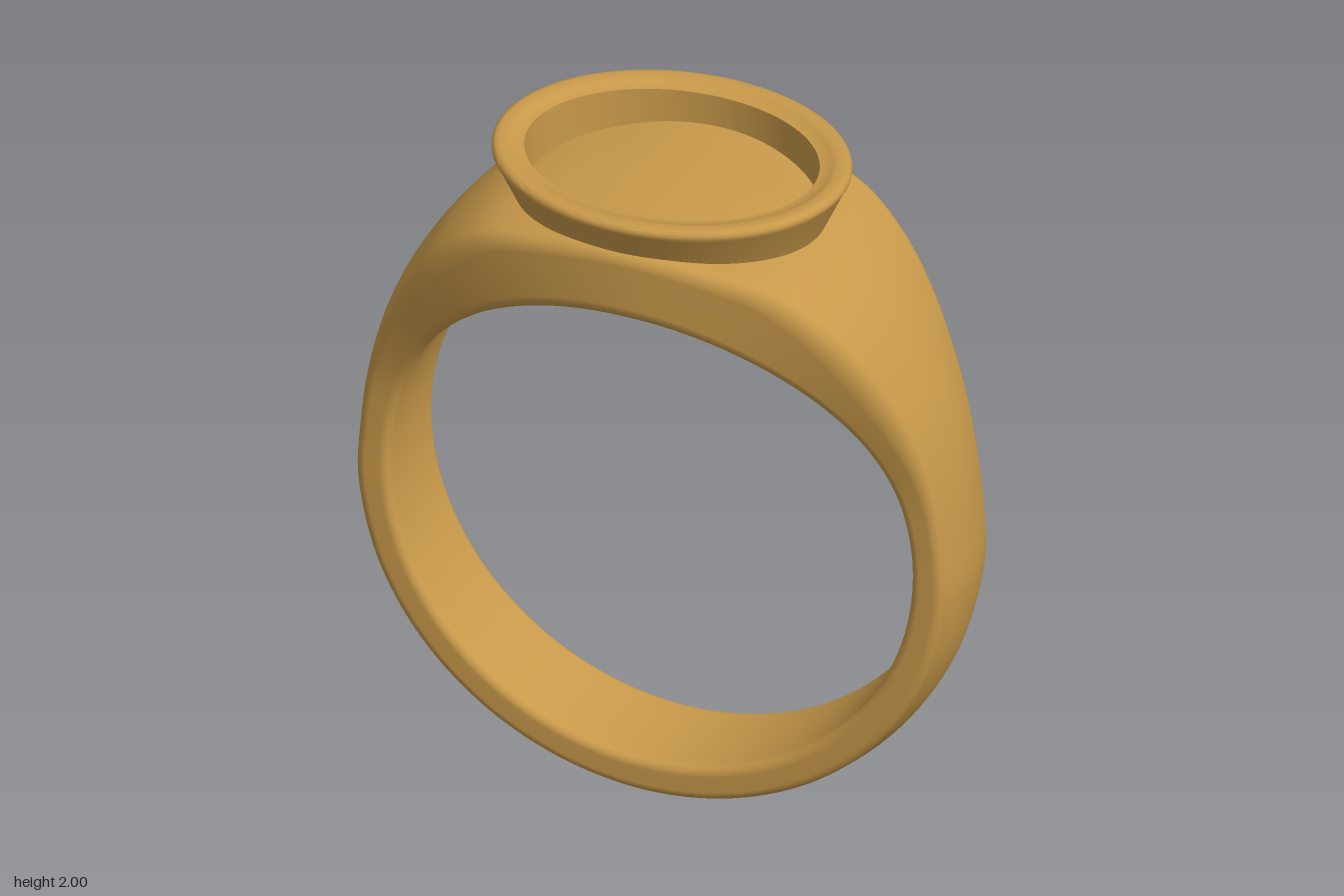
import * as THREE from 'three';
import { toCreasedNormals } from 'three/addons/utils/BufferGeometryUtils.js';

const CENTRE_Y = 0.9, INNER_R = 0.772;

// Half outline of the band from the top round to the bottom: x, y from the centre, half width
function outline() {
  const half = [
    [0, 0.992, 0.388], [0.22, 0.98, 0.376], [0.44, 0.938, 0.345], [0.588, 0.833, 0.308],
    [0.697, 0.697, 0.266], [0.797, 0.50, 0.211], [0.856, 0.30, 0.173], [0.884, 0.10, 0.163],
  ];
  for (let deg = 95; deg <= 180; deg += 17) {
    const a = THREE.MathUtils.degToRad(deg), r = 0.893 + 0.007 * (deg - 95) / 85;
    half.push([r * Math.sin(a), r * Math.cos(a), 0.163]);
  }
  const mirrored = half.slice(1, -1).reverse().map(([x, y, w]) => [-x, y, w]);
  return new THREE.CatmullRomCurve3(
    [...half, ...mirrored].map(p => new THREE.Vector3(...p)), true);
}

// Rounded cross-section as [z, radius] pairs: flat inside, crowned outside, softest on the shoulders
function section(outer, w) {
  const wide = THREE.MathUtils.clamp((w - 0.163) / 0.225, 0, 1);
  const shoulder = 4 * wide * (1 - wide);
  const drop = 0.03 - 0.026 * wide + 0.018 * shoulder;
  const inFillet = 0.028 + 0.02 * wide;
  const outZ = 0.028 + 0.006 * wide + 0.016 * shoulder;
  const outR = 0.03 + 0.008 * wide + 0.04 * shoulder;
  const crown = z => outer - drop * (z / w) ** 2;
  const edge = crown(w - outZ);
  const right = [];
  for (let i = 0; i <= 3; i++) right.push([(w - inFillet) * i / 3, INNER_R]);
  for (let i = 1; i <= 6; i++) {
    const a = i / 6 * Math.PI / 2;
    right.push([w - inFillet + inFillet * Math.sin(a), INNER_R + inFillet * (1 - Math.cos(a))]);
  }
  for (let i = 0; i <= 8; i++) {
    const a = i / 8 * Math.PI / 2;
    right.push([w - outZ + outZ * Math.cos(a), edge - outR + outR * Math.sin(a)]);
  }
  for (let i = 7; i >= 0; i--) {
    const z = (w - outZ) * i / 8;
    right.push([z, crown(z)]);
  }
  return [...right, ...right.slice(1, -1).reverse().map(([z, r]) => [-z, r])];
}

function bandGeometry() {
  const curve = outline(), steps = 192, pos = [], index = [];
  let n = 0;
  for (let i = 0; i < steps; i++) {
    const p = curve.getPoint(i / steps);
    const outer = Math.hypot(p.x, p.y), s = p.x / outer, c = p.y / outer;
    const ring = section(outer, p.z);
    n = ring.length;
    for (const [z, r] of ring) pos.push(r * s, CENTRE_Y + r * c, z);
  }
  for (let i = 0; i < steps; i++) {
    const i2 = (i + 1) % steps;
    for (let j = 0; j < n; j++) {
      const j2 = (j + 1) % n;
      const a = i * n + j, b = i2 * n + j, c = i * n + j2, d = i2 * n + j2;
      index.push(a, b, c, b, d, c);
    }
  }
  const g = new THREE.BufferGeometry();
  g.setAttribute('position', new THREE.Float32BufferAttribute(pos, 3));
  g.setIndex(index);
  g.computeVertexNormals();
  return g;
}

// Flared oval cup with a rounded lip and a small inner ledge; the band closes its floor
function bezelGeometry() {
  const profile = [
    [0.424, 1.805], [0.44, 1.84], [0.498, 1.966], [0.504, 1.976], [0.505, 1.984],
    [0.502, 1.993], [0.494, 1.999], [0.483, 2.0], [0.464, 1.999], [0.45, 1.995], [0.44, 1.988],
    [0.416, 1.985], [0.416, 1.805],
  ].map(p => new THREE.Vector2(...p));
  const g = new THREE.LatheGeometry(profile, 96);
  const pos = g.attributes.position;
  for (let i = 0; i < pos.count; i++) {
    const r = Math.hypot(pos.getX(i), pos.getZ(i));
    pos.setZ(i, pos.getZ(i) * (r - 0.09) / r);
  }
  return toCreasedNormals(g, 0.75);
}

export function createModel() {
  const gold = new THREE.MeshStandardMaterial({ color: 0xc8994a });
  gold.name = 'gold';
  const model = new THREE.Group();
  model.name = 'signetRing';
  const add = (name, geometry) => {
    const mesh = new THREE.Mesh(geometry, gold);
    mesh.name = name;
    model.add(mesh);
  };
  add('band', bandGeometry());
  add('bezel', bezelGeometry());
  return model;
}
